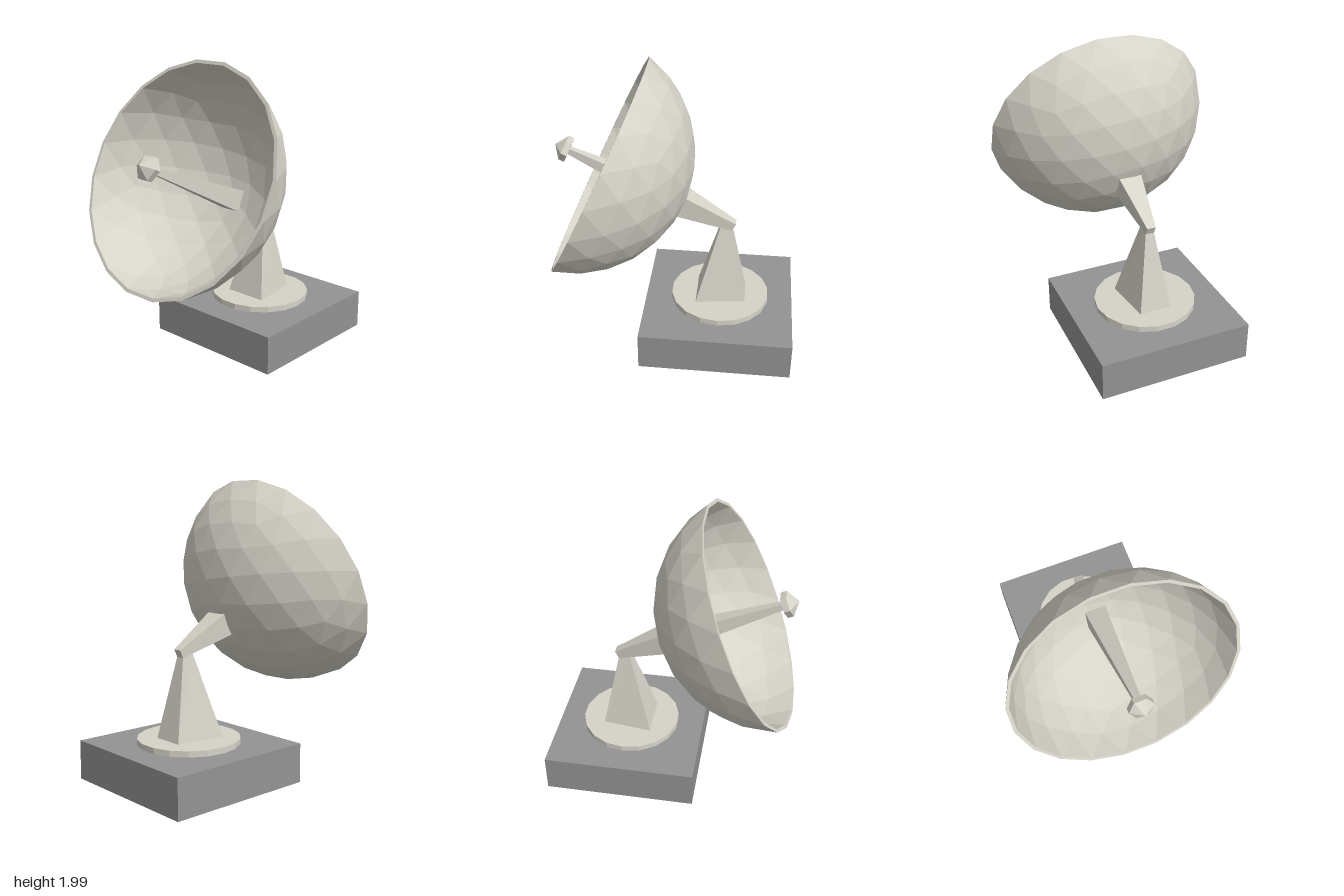
import * as THREE from 'three';

const cream = new THREE.MeshStandardMaterial({ color: 0xd6d3c8, flatShading: true });
const grey = new THREE.MeshStandardMaterial({ color: 0x939393, flatShading: true });

function part(name, geometry, material = cream) {
  const mesh = new THREE.Mesh(geometry, material);
  mesh.name = name;
  return mesh;
}

// Square bar along y, from half-width a at y0 to half-width b at y1
function taperedBar(a, y0, b, y1) {
  const g = new THREE.CylinderGeometry(b * Math.SQRT2, a * Math.SQRT2, y1 - y0, 4);
  g.rotateY(Math.PI / 4);
  g.translate(0, (y0 + y1) / 2, 0);
  return g;
}

// Faceted bowl with its pole on +y and its rim at y = 0
function bowl(rimRadius, inside) {
  const lift = THREE.MathUtils.degToRad(12.8);
  const radius = rimRadius / Math.cos(lift);
  const ico = new THREE.IcosahedronGeometry(1, 3);
  ico.rotateZ(-Math.atan(2 / (1 + Math.sqrt(5))));
  ico.rotateY(Math.PI / 20);
  const p = ico.attributes.position;
  const out = [];
  for (let i = 0; i < p.count; i += 3) {
    const tri = [0, 1, 2].map(k => new THREE.Vector3().fromBufferAttribute(p, i + k));
    if (tri.some(v => v.y < -1e-4)) continue;
    if (inside) tri.reverse();
    for (const v of tri) {
      // squeeze the hemisphere's latitudes into a shallower spherical cap
      const lat = Math.asin(Math.min(1, Math.max(0, v.y)));
      const newLat = lift + lat * (1 - lift / (Math.PI / 2));
      const around = Math.atan2(v.z, v.x);
      const r = radius * Math.cos(newLat);
      out.push(r * Math.cos(around), radius * (Math.sin(newLat) - Math.sin(lift)), r * Math.sin(around));
    }
  }
  const g = new THREE.BufferGeometry();
  g.setAttribute('position', new THREE.Float32BufferAttribute(out, 3));
  g.computeVertexNormals();
  return g;
}

// Pedestal: a box whose corners are moved to a lopsided taper
function pedestalGeometry() {
  const g = new THREE.BoxGeometry(1, 1, 1);
  const p = g.attributes.position;
  for (let i = 0; i < p.count; i++) {
    const right = p.getX(i) > 0, top = p.getY(i) > 0, side = Math.sign(p.getZ(i));
    if (top) p.setXYZ(i, right ? 0.39 : 0.31, right ? 0.845 : 0.87, side * 0.03);
    else p.setXYZ(i, right ? 0.5 : 0.155, 0.3, side * (right ? 0.11 : 0.155));
  }
  g.computeVertexNormals();
  return g;
}

export function createModel() {
  const model = new THREE.Group();
  model.name = 'satelliteDish';

  // Base slab and turntable
  const slab = part('baseSlab', new THREE.BoxGeometry(1.04, 0.265, 1.04), grey);
  slab.position.set(0.315, 0.1325, 0);
  const turntable = part('turntable', new THREE.CylinderGeometry(0.345, 0.345, 0.04, 18));
  turntable.position.set(0.32, 0.285, 0);
  model.add(slab, turntable, part('pedestal', pedestalGeometry()));

  // Tilted head: local +y points out of the back of the dish
  const head = new THREE.Group();
  head.name = 'dishHead';
  head.position.set(-0.51, 1.295, 0);
  head.rotation.z = THREE.MathUtils.degToRad(-115);
  const rimGeometry = new THREE.RingGeometry(0.757, 0.78, 20, 1, Math.PI / 20);
  rimGeometry.rotateX(Math.PI / 2);
  head.add(
    part('dishOuter', bowl(0.78, false)),
    part('dishInner', bowl(0.757, true)),
    part('dishRim', rimGeometry),
    part('supportArm', taperedBar(0.08, 0.6, 0.03, 1.005)),
    part('feedRod', taperedBar(0.02, -0.23, 0.072, 0.6))
  );

  // Feed horn: short drum with a pointed cap
  const hornProfile = [[0, -0.32], [0.085, -0.26], [0.085, -0.22], [0, -0.22]];
  const horn = new THREE.LatheGeometry(hornProfile.map(([r, y]) => new THREE.Vector2(r, y)), 6);
  head.add(part('feedHorn', horn));

  model.add(head);
  return model;
}
